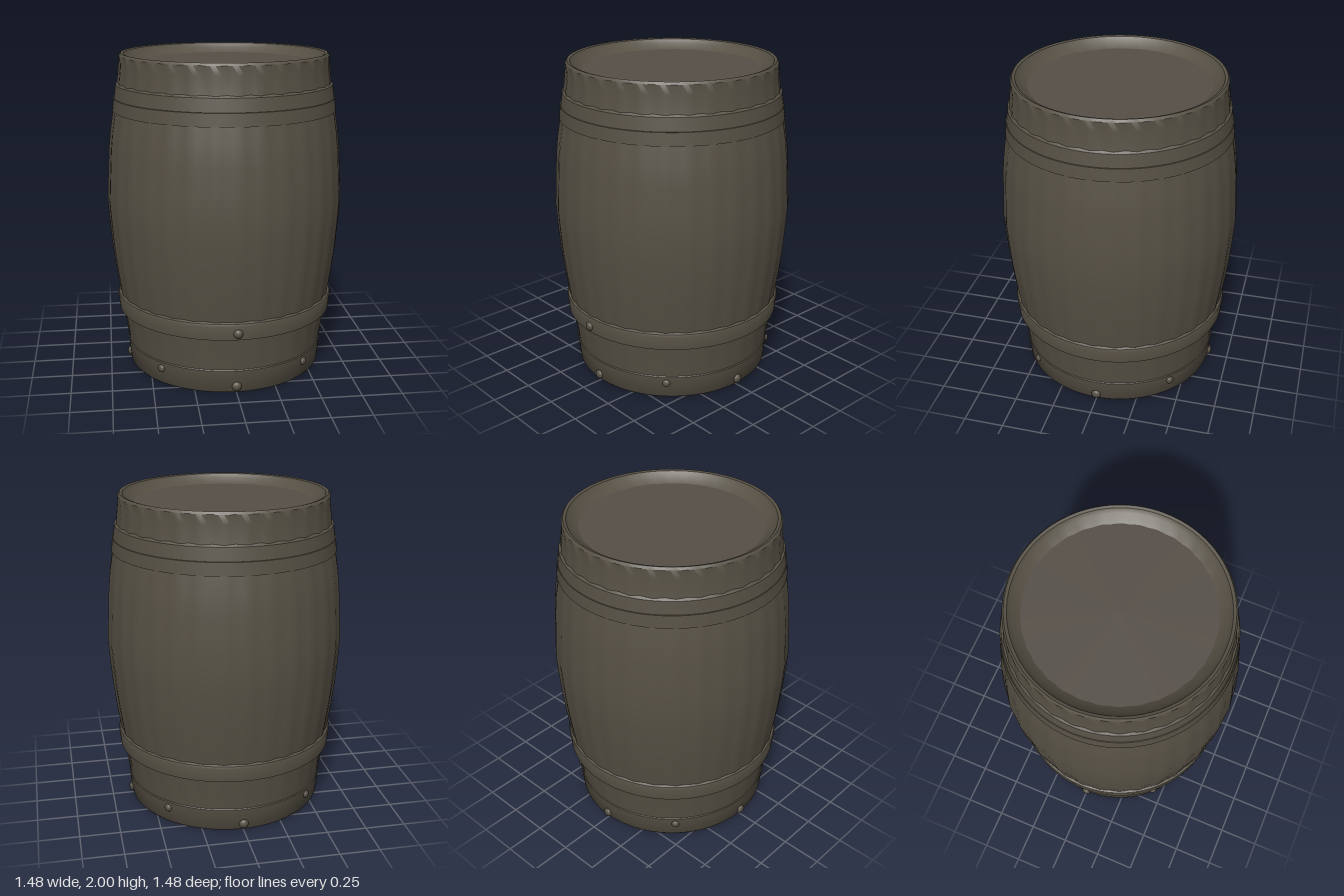
import * as THREE from 'three';
import { toCreasedNormals } from 'three/addons/utils/BufferGeometryUtils.js';

const STAVES = 32;

// Spins an [radius, height] profile; wave() gives the depth of the stave grooves by height
function spin(profile, wave = () => 0) {
  const points = profile.map(([r, y]) => new THREE.Vector2(r, y));
  const geometry = new THREE.LatheGeometry(points, STAVES * 4);
  const p = geometry.attributes.position;
  for (let i = 0; i < p.count; i++) {
    const x = p.getX(i), z = p.getZ(i);
    const groove = Math.pow(Math.cos(Math.atan2(x, z) * STAVES / 2), 2);
    const k = 1 - wave(p.getY(i)) * (1 - groove);
    p.setX(i, x * k);
    p.setZ(i, z * k);
  }
  return toCreasedNormals(geometry, 0.6);
}

export function createModel() {
  const barrel = new THREE.Group();
  barrel.name = 'barrel';
  const wood = new THREE.MeshStandardMaterial({ color: 0x575145 });
  wood.name = 'weathered wood';
  const lidWood = new THREE.MeshStandardMaterial({ color: 0x564f48 });
  lidWood.name = 'lid wood';

  const add = (name, geometry, material) => {
    const mesh = new THREE.Mesh(geometry, material);
    mesh.name = name;
    barrel.add(mesh);
    return mesh;
  };

  // Bulging staves, with both rims sloping in to the recessed ends
  add('staves', spin([
    [0.55, 0.06], [0.59, 0.005], [0.605, 0],
    [0.612, 0.02], [0.628, 0.16], [0.66, 0.37], [0.68, 0.5], [0.702, 0.65],
    [0.72, 0.8], [0.732, 0.95], [0.741, 1.09], [0.732, 1.25],
    [0.722, 1.42], [0.71, 1.53], [0.69, 1.65], [0.663, 1.82], [0.65, 1.93],
    [0.646, 1.985], [0.635, 2], [0.618, 1.995], [0.6, 1.97], [0.55, 1.94],
  ], (y) => (y > 0.2 && y < 1.95 ? 0.009 : 0)), wood);

  // Recessed ends
  const lid = add('lid', new THREE.CircleGeometry(0.552, 64), lidWood);
  lid.rotation.x = -Math.PI / 2;
  lid.position.y = 1.94;
  const base = add('base', new THREE.CircleGeometry(0.552, 64), lidWood);
  base.rotation.x = Math.PI / 2;
  base.position.y = 0.06;

  // Hoops: bottom, lower, and the stepped upper pair
  add('bottomHoop', spin([
    [0.605, 0], [0.617, 0.015], [0.632, 0.15], [0.622, 0.165],
  ]), wood);
  add('lowerHoop', spin([
    [0.65, 0.372], [0.682, 0.372], [0.691, 0.46], [0.686, 0.475], [0.67, 0.485],
  ]), wood);
  add('upperHoop', spin([
    [0.68, 1.65], [0.695, 1.65], [0.687, 1.728], [0.67, 1.73],
  ]), wood);
  add('upperHoopStep', spin([
    [0.67, 1.725], [0.683, 1.73], [0.672, 1.81], [0.655, 1.825],
  ]), wood);

  // Domed rivets, seated on the hoops at an angle around the barrel
  const rivet = (name, angle, y, seat, size) => {
    const mesh = add(name, new THREE.SphereGeometry(size, 14, 10), wood);
    mesh.scale.z = 0.7;
    mesh.rotation.y = angle;
    mesh.position.set(Math.sin(angle) * seat, y, Math.cos(angle) * seat);
  };
  for (let i = 0; i < 4; i++) {
    const a = i * Math.PI / 2;
    rivet('bottomRivet', a, 0.045, 0.62, 0.03);
    rivet('smallRivet', a + Math.PI / 4, 0.108, 0.628, 0.025);
  }
  rivet('frontRivet', 0, 0.413, 0.686, 0.029);

  return barrel;
}
